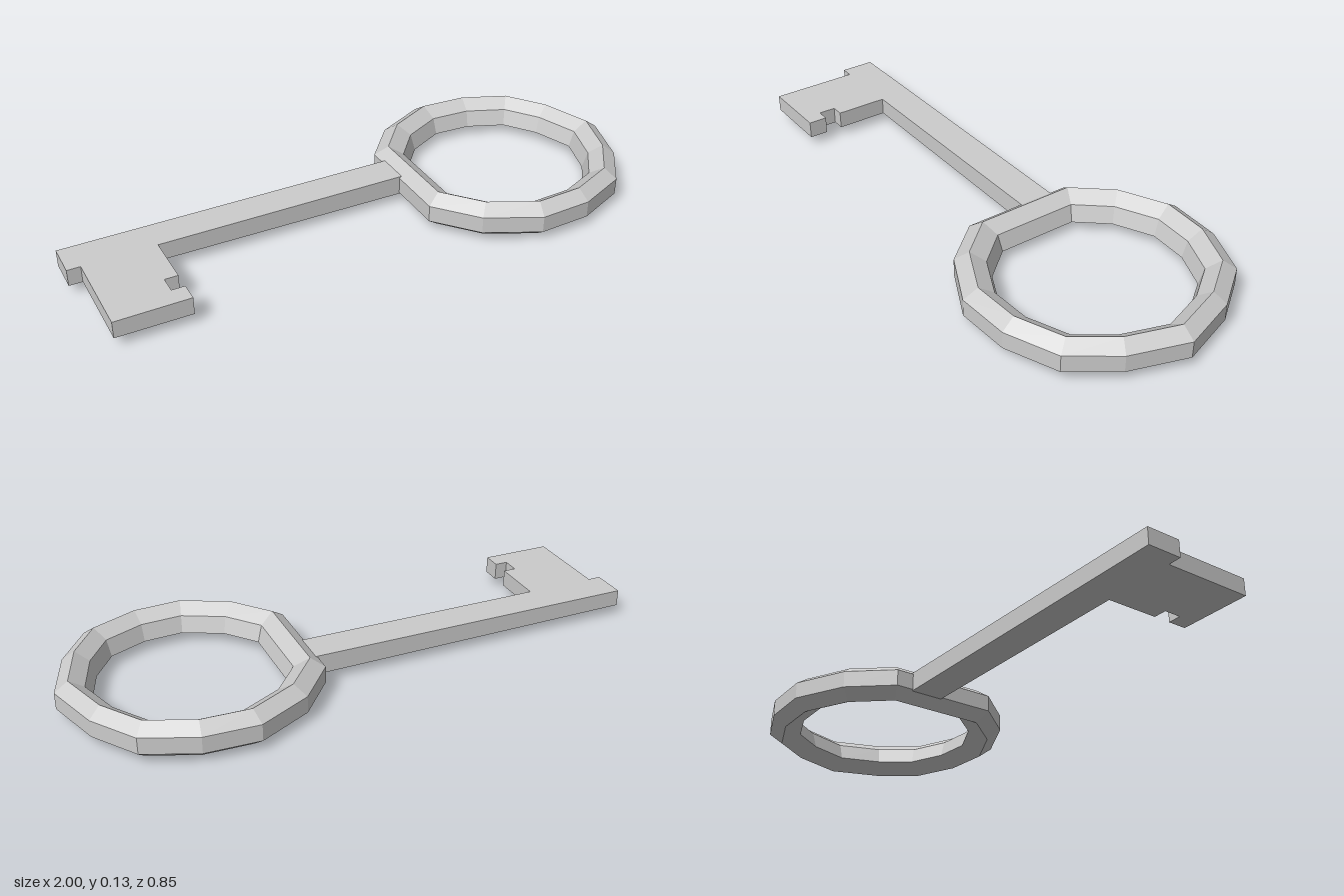
import * as THREE from 'three';

const material = new THREE.MeshStandardMaterial({ color: 0xcccccc, flatShading: true });
const MID_Y = 0.066;

// Faceted ring handle: a six-sided profile swept round a hand-cut outline
function ringGeometry() {
  const half = [[0.935, 0.195], [0.83, 0.342], [0.655, 0.415], [0.47, 0.424], [0.29, 0.335], [0.17, 0.193]];
  const outline = [
    [1, 0],
    ...half.map(([x, z]) => [x, -z]),
    ...[...half].reverse(),
  ];
  const centreX = 0.58;
  // [scale of the outline, height]
  const profile = [[1, 0.036], [1, 0.094], [0.89, 0.127], [0.77, 0.094], [0.73, 0.036], [0.89, 0]];
  const n = outline.length, m = profile.length;
  const positions = [], index = [];
  for (const [x, z] of outline) {
    for (const [s, y] of profile) positions.push(centreX + (x - centreX) * s, y, z * s);
  }
  for (let i = 0; i < n; i++) {
    for (let j = 0; j < m; j++) {
      const i2 = (i + 1) % n, j2 = (j + 1) % m;
      const a = i * m + j, b = i2 * m + j, c = i2 * m + j2, d = i * m + j2;
      index.push(a, b, c, a, c, d);
    }
  }
  const geometry = new THREE.BufferGeometry();
  geometry.setAttribute('position', new THREE.Float32BufferAttribute(positions, 3));
  geometry.setIndex(index);
  const flat = geometry.toNonIndexed();
  flat.computeVertexNormals();
  return flat;
}

// Shaft and notched bit cut from one plate, slightly thicker towards the ring
function bladeGeometry() {
  const corners = [
    [-1, -0.13], [0.2, -0.13], [0.2, -0.01], [-0.705, -0.01],
    [-0.705, 0.174], [-0.75, 0.174], [-0.75, 0.234], [-0.705, 0.234],
    [-0.705, 0.3], [-0.955, 0.3], [-0.955, -0.01], [-1, -0.01],
  ];
  const shape = new THREE.Shape(corners.map(([x, z]) => new THREE.Vector2(x, z)));
  const geometry = new THREE.ExtrudeGeometry(shape, { depth: 1, bevelEnabled: false });
  geometry.rotateX(Math.PI / 2);
  const p = geometry.attributes.position;
  for (let i = 0; i < p.count; i++) {
    const halfThickness = 0.029 + 0.005 * (p.getX(i) + 1) / 1.2;
    p.setY(i, MID_Y + (p.getY(i) > -0.5 ? halfThickness : -halfThickness));
  }
  geometry.computeVertexNormals();
  return geometry;
}

export function createModel() {
  const key = new THREE.Group();
  key.name = 'key';
  const parts = { ringHandle: ringGeometry(), shaftAndBit: bladeGeometry() };
  for (const [name, geometry] of Object.entries(parts)) {
    const mesh = new THREE.Mesh(geometry, material);
    mesh.name = name;
    key.add(mesh);
  }
  return key;
}
